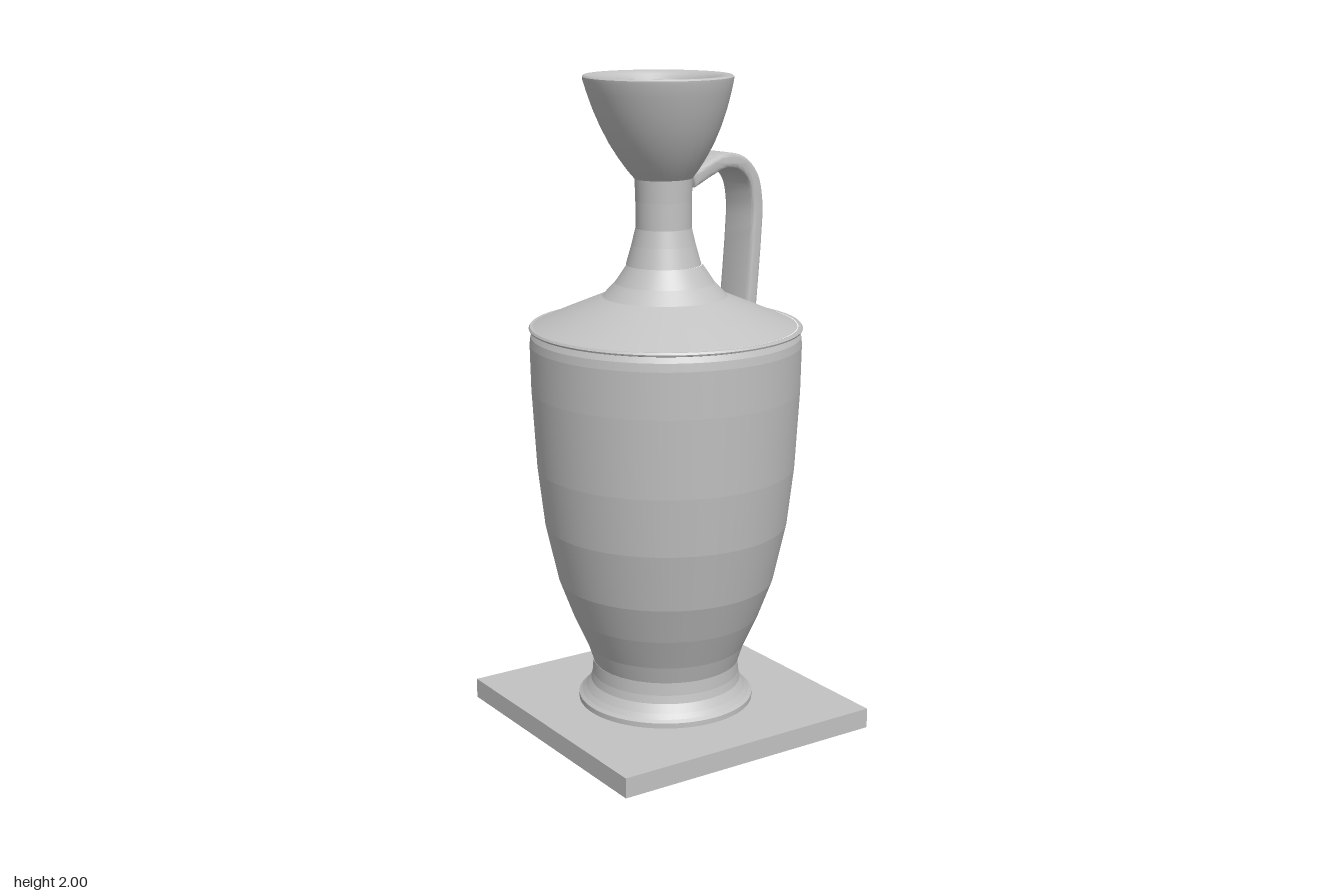
import * as THREE from 'three';
import { mergeGeometries, toCreasedNormals } from 'three/addons/utils/BufferGeometryUtils.js';

const SEGMENTS = 72;
const toPoints = (list) => list.map(([r, y]) => new THREE.Vector2(r, y));

// Turned form with a crisp edge between bands, smooth around the axis
function bandedLathe(list) {
  const pts = toPoints(list);
  const bands = [];
  for (let i = 0; i < pts.length - 1; i++) {
    bands.push(new THREE.LatheGeometry([pts[i], pts[i + 1]], SEGMENTS));
  }
  return mergeGeometries(bands);
}

// Flat strap that follows a side-on path, extruded across its width
function strapGeometry(path, thickness, width, bevel) {
  const curve = new THREE.CatmullRomCurve3(path.map(([s, y]) => new THREE.Vector3(s, y, 0)));
  const outer = [], inner = [];
  const n = 32, h = thickness / 2 - bevel;
  for (let i = 0; i <= n; i++) {
    const p = curve.getPoint(i / n), t = curve.getTangent(i / n);
    outer.push(new THREE.Vector2(p.x + t.y * h, p.y - t.x * h));
    inner.unshift(new THREE.Vector2(p.x - t.y * h, p.y + t.x * h));
  }
  const geometry = new THREE.ExtrudeGeometry(new THREE.Shape([...outer, ...inner]), {
    depth: width - 2 * bevel, bevelEnabled: true, bevelThickness: bevel,
    bevelSize: bevel, bevelSegments: 3,
  });
  geometry.translate(0, 0, bevel - width / 2);
  geometry.rotateY(Math.PI / 2);
  return toCreasedNormals(geometry, 0.7);
}

export function createModel() {
  const model = new THREE.Group();
  model.name = 'vase';
  const clay = new THREE.MeshStandardMaterial({ color: 0xc2c2c2 });
  clay.name = 'grey clay';

  function add(name, geometry, x = 0, y = 0, z = 0) {
    const mesh = new THREE.Mesh(geometry, clay);
    mesh.name = name;
    mesh.position.set(x, y, z);
    model.add(mesh);
    return mesh;
  }

  // Square plinth, turned slightly
  add('plinth', new THREE.BoxGeometry(0.891, 0.062, 0.891), 0, 0.031, 0).rotation.y = -0.158;

  // Stepped foot
  add('foot', bandedLathe([
    [0.272, 0.06], [0.272, 0.078], [0.262, 0.086], [0.25, 0.1], [0.234, 0.125],
    [0.229, 0.15], [0.227, 0.19],
  ]), -0.006, 0, 0.006);

  // Tapering body up to the shoulder
  add('body', bandedLathe([
    [0.227, 0.19], [0.245, 0.245], [0.29, 0.345], [0.333, 0.46], [0.373, 0.64],
    [0.394, 0.82], [0.408, 1.06], [0.411, 1.2], [0.408, 1.225], [0.4, 1.242],
  ]), -0.005, 0, 0.005);

  // Thin raised lip around the shoulder
  add('shoulderLip', bandedLathe([
    [0.4, 1.242], [0.411, 1.245], [0.413, 1.25], [0.409, 1.256], [0.399, 1.255],
  ]), -0.005, 0, 0.005);

  // Sloping shoulder and slender neck
  add('shoulder', bandedLathe([
    [0.399, 1.255], [0.295, 1.3], [0.188, 1.345], [0.15, 1.385], [0.113, 1.44],
  ]), -0.006, 0, 0.008);
  add('neck', bandedLathe([
    [0.113, 1.44], [0.096, 1.5], [0.084, 1.55], [0.084, 1.63], [0.087, 1.72],
  ]), -0.007, 0, 0.012);

  // Flared cup with a rolled rim and a shallow dished floor
  const cup = new THREE.LatheGeometry(toPoints([
    [0.0, 1.695], [0.085, 1.695], [0.105, 1.72], [0.13, 1.757], [0.155, 1.8],
    [0.178, 1.85], [0.197, 1.9], [0.212, 1.95], [0.221, 1.985], [0.222, 1.995],
    [0.217, 2.0], [0.195, 1.999], [0.177, 1.99], [0.168, 1.972], [0.163, 1.945],
    [0.155, 1.93], [0.08, 1.922], [0.0, 1.918],
  ]), SEGMENTS);
  // The cup leans a little towards the front
  const pos = cup.attributes.position;
  for (let i = 0; i < pos.count; i++) {
    const rise = (pos.getY(i) - 1.695) / 0.305;
    pos.setZ(i, pos.getZ(i) + 0.021 * rise);
  }
  add('cup', toCreasedNormals(cup, 0.7), -0.008, 0, 0.012);

  // Strap handle rising from the back of the shoulder
  add('handle', strapGeometry([
    [0.338, 1.24], [0.35, 1.36], [0.362, 1.5], [0.365, 1.59], [0.345, 1.67],
    [0.295, 1.718], [0.23, 1.731], [0.165, 1.713], [0.098, 1.686],
  ], 0.046, 0.13, 0.012), -0.044, 0, 0);

  return model;
}
